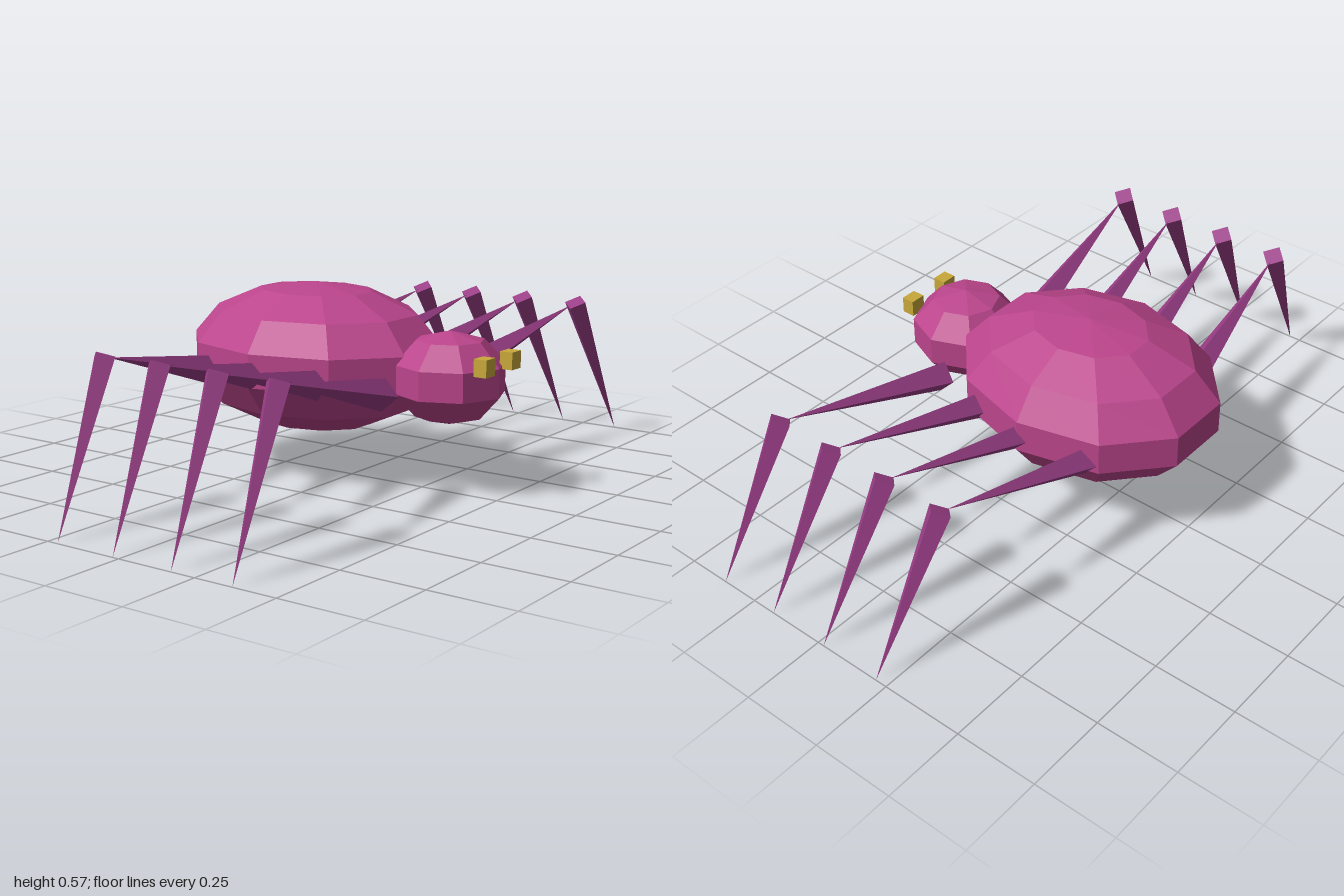
import * as THREE from 'three';

const flat = (name, color) => {
  const m = new THREE.MeshStandardMaterial({ color });
  m.name = name;
  m.flatShading = true;
  return m;
};

export function createModel() {
  const bodyMat = flat('magenta body', 0xbb458c);
  const legMat = flat('purple legs', 0x9a3e87);
  const eyeMat = flat('golden eyes', 0xc9a83a);
  const model = new THREE.Group();
  model.name = 'spider';

  const add = (parent, name, geometry, material) => {
    const mesh = new THREE.Mesh(geometry, material);
    mesh.name = name;
    parent.add(mesh);
    return mesh;
  };

  // faceted ellipsoids for abdomen and head
  const abdomen = add(model, 'abdomen', new THREE.SphereGeometry(1, 10, 7).scale(0.333, 0.22, 0.415), bodyMat);
  abdomen.position.set(0, 0.35, -0.13);
  const head = add(model, 'head', new THREE.SphereGeometry(1, 8, 5).scale(0.17, 0.135, 0.17), bodyMat);
  head.position.set(0, 0.335, 0.34);

  // four-sided spike from a base centre to a tip, with corners towards +z and -z
  const spike = (base, tip, radius) => {
    const axis = tip.clone().sub(base);
    const length = axis.length();
    const y = axis.normalize();
    const z = new THREE.Vector3(0, 0, 1).addScaledVector(y, -y.z).normalize();
    const x = new THREE.Vector3().crossVectors(y, z);
    const geometry = new THREE.ConeGeometry(radius, length, 4).translate(0, length / 2, 0);
    geometry.applyMatrix4(new THREE.Matrix4().makeBasis(x, y, z).setPosition(base));
    return geometry;
  };

  for (const side of [1, -1]) {
    const label = side > 0 ? 'left' : 'right';

    const eye = add(model, label + 'Eye', new THREE.BoxGeometry(0.048, 0.05, 0.04), eyeMat);
    eye.position.set(side * 0.07, 0.393, 0.495);

    // four legs, each an upper spike out to the knee and a lower spike to the ground
    for (let i = 0; i < 4; i++) {
      const leg = new THREE.Group();
      leg.name = label + 'Leg' + (i + 1);
      leg.position.z = -0.194 * i;
      model.add(leg);
      const p = (x, y, z) => new THREE.Vector3(side * x, y, z);
      add(leg, 'upperLeg', spike(p(0.207, 0.31, 0.255), p(0.75, 0.443, 0.325), 0.047), legMat);
      add(leg, 'lowerLeg', spike(p(0.767, 0.45, 0.329), p(1, 0, 0.368), 0.037), legMat);
    }
  }
  return model;
}
